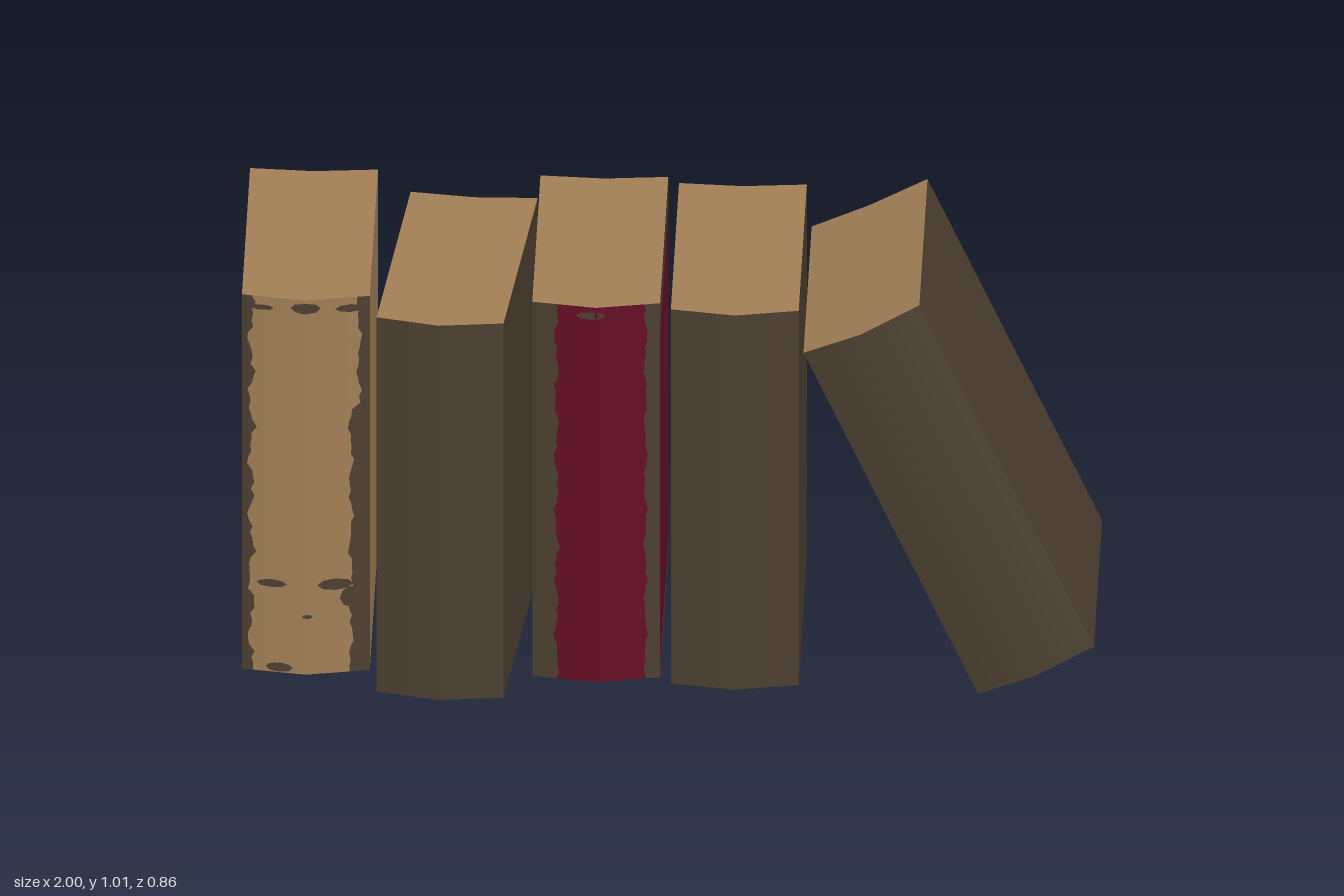
import * as THREE from 'three';

const W = 0.15, H = 0.485, D = 0.348;      // half width, height and depth of a book
const SPINE = 0.03, HOLLOW = -0.013;       // bulge of the spine, hollow of the page edge

const material = (name, color) => {
  const m = new THREE.MeshStandardMaterial({ color });
  m.name = name;
  return m;
};

function addMesh(parent, name, geometry, mat) {
  const mesh = new THREE.Mesh(geometry, mat);
  mesh.name = name;
  parent.add(mesh);
  return mesh;
}

// Depth of a gently folded face at x
const fold = (x, bulge) => D + bulge * (1 - Math.abs(x) / W);

// Moves a flat geometry onto the folded face, with smooth normals across the fold
function bend(geometry, bulge, lift = 0) {
  const p = geometry.attributes.position, n = geometry.attributes.normal;
  const v = new THREE.Vector3();
  for (let i = 0; i < p.count; i++) {
    const x = p.getX(i);
    p.setZ(i, fold(x, bulge) + lift);
    v.set((x / W) * (bulge / W), 0, 1).normalize();
    n.setXYZ(i, v.x, v.y, v.z);
  }
  return geometry;
}

// Vertical strip of a folded face between two edge lines given as functions of y
function strip(left, right, bulge, rows = 1) {
  const g = new THREE.PlaneGeometry(1, 2 * H, 1, rows);
  const p = g.attributes.position;
  for (let i = 0; i < p.count; i++) {
    const y = p.getY(i);
    p.setX(i, p.getX(i) < 0 ? left(y) : right(y));
  }
  return bend(g, bulge);
}

// Worn, ragged edge line
const ragged = (base, amount, seed) => (y) => {
  const wave = Math.sin(y * 41 + seed) * 0.5 + Math.sin(y * 97 + seed * 3) * 0.35 + Math.sin(y * 173 + seed * 7) * 0.25;
  return (typeof base === 'function' ? base(y) : base) + amount * wave;
};

// Top or bottom face of the page block
function endFace(top) {
  const s = top ? -1 : 1;
  const pts = [[-W, D], [0, D + SPINE], [W, D], [W, -D], [0, -D - HOLLOW], [-W, -D]]
    .map(([x, z]) => new THREE.Vector2(x, s * z));
  const g = new THREE.ShapeGeometry(new THREE.Shape(pts));
  return g.rotateX(s * Math.PI / 2).translate(0, -s * H, 0);
}

// Side cover, split at given heights into [from, to, material] bands
function addCovers(book, bands) {
  for (const side of [-1, 1]) {
    for (const [y0, y1, mat] of bands) {
      const g = new THREE.PlaneGeometry(2 * D, y1 - y0);
      g.rotateY(side * Math.PI / 2).translate(side * W, (y0 + y1) / 2, 0);
      addMesh(book, side < 0 ? 'rightCover' : 'leftCover', g, mat);
    }
  }
}

// Spine made of a centre panel and two worn borders
function addSpine(book, centre, border, leftEdge, rightEdge) {
  const edge = (x) => () => x, rows = 60;
  addMesh(book, 'spinePanel', strip(leftEdge, edge(0), SPINE, rows), centre);
  addMesh(book, 'spinePanel', strip(edge(0), rightEdge, SPINE, rows), centre);
  addMesh(book, 'spineBorder', strip(edge(-W), leftEdge, SPINE, rows), border);
  addMesh(book, 'spineBorder', strip(rightEdge, edge(W), SPINE, rows), border);
}

// Worn patches on the spine as [x, y, half width, half height]
function addPatches(book, mat, patches) {
  for (const [x, y, rx, ry] of patches) {
    const g = new THREE.CircleGeometry(1, 8).scale(rx, ry, 1).translate(x, y, 0);
    addMesh(book, 'wornPatch', bend(g, SPINE, 0.002), mat);
  }
}

export function createModel() {
  const model = new THREE.Group();
  model.name = 'rowOfBooks';
  const brown = material('darkBrownLeather', 0x4c3f30);
  const tan = material('tanPaper', 0xa27f56);
  const red = material('deepRedCloth', 0x660d25);

  // Pages and placement shared by every book
  const addBook = (name, x, z, turn = 0, lean = 0) => {
    const book = new THREE.Group();
    book.name = name;
    book.position.set(x, 0.505, z);
    book.rotation.set(0, turn, lean);
    addMesh(book, 'pageTop', endFace(true), tan);
    addMesh(book, 'pageBottom', endFace(false), tan);
    for (const [a, b] of [[-W, 0], [0, W]]) {
      const g = strip(() => a, () => b, HOLLOW).rotateY(Math.PI);
      addMesh(book, 'pageEdge', g, tan);
    }
    model.add(book);
    return book;
  };

  // Tan book with worn dark edges
  const tanBook = addBook('tanBook', -0.85, -0.082);
  addCovers(tanBook, [[-H, H, tan]]);
  addSpine(tanBook, tan, brown, ragged(-0.128, 0.012, 2),
    ragged((y) => (y > 0.2 ? 0.125 : 0.106), 0.008, 5));
  addPatches(tanBook, brown, [
    [0, 0.463, 0.035, 0.014], [0.105, 0.458, 0.035, 0.01], [-0.105, 0.458, 0.03, 0.007],
    [-0.08, -0.255, 0.036, 0.01], [0.07, -0.255, 0.042, 0.015], [0.11, -0.29, 0.03, 0.028],
    [0.004, -0.335, 0.012, 0.005], [-0.062, -0.471, 0.032, 0.012],
  ]);

  // Red book with brown borders
  const redBook = addBook('redBook', -0.168, -0.06);
  addCovers(redBook, [[-H, -0.45, brown], [-0.45, 0.4, red], [0.4, H, brown]]);
  addSpine(redBook, red, brown, ragged(-0.093, 0.008, 1), ragged(0.116, 0.006, 4));
  addPatches(redBook, brown, [[-0.012, 0.463, 0.035, 0.01]]);

  // Plain dark books: one turned, one straight, one leaning
  const plain = [
    ['turnedBook', -0.501, 0.05, -0.088, 0],
    ['straightBook', 0.158, -0.027, 0, 0],
    ['leaningBook', 0.66, -0.027, 0, 0.436],
  ];
  for (const args of plain) {
    const book = addBook(...args);
    addCovers(book, [[-H, H, brown]]);
    for (const [a, b] of [[-W, 0], [0, W]]) {
      addMesh(book, 'spine', strip(() => a, () => b, SPINE), brown);
    }
  }
  return model;
}
